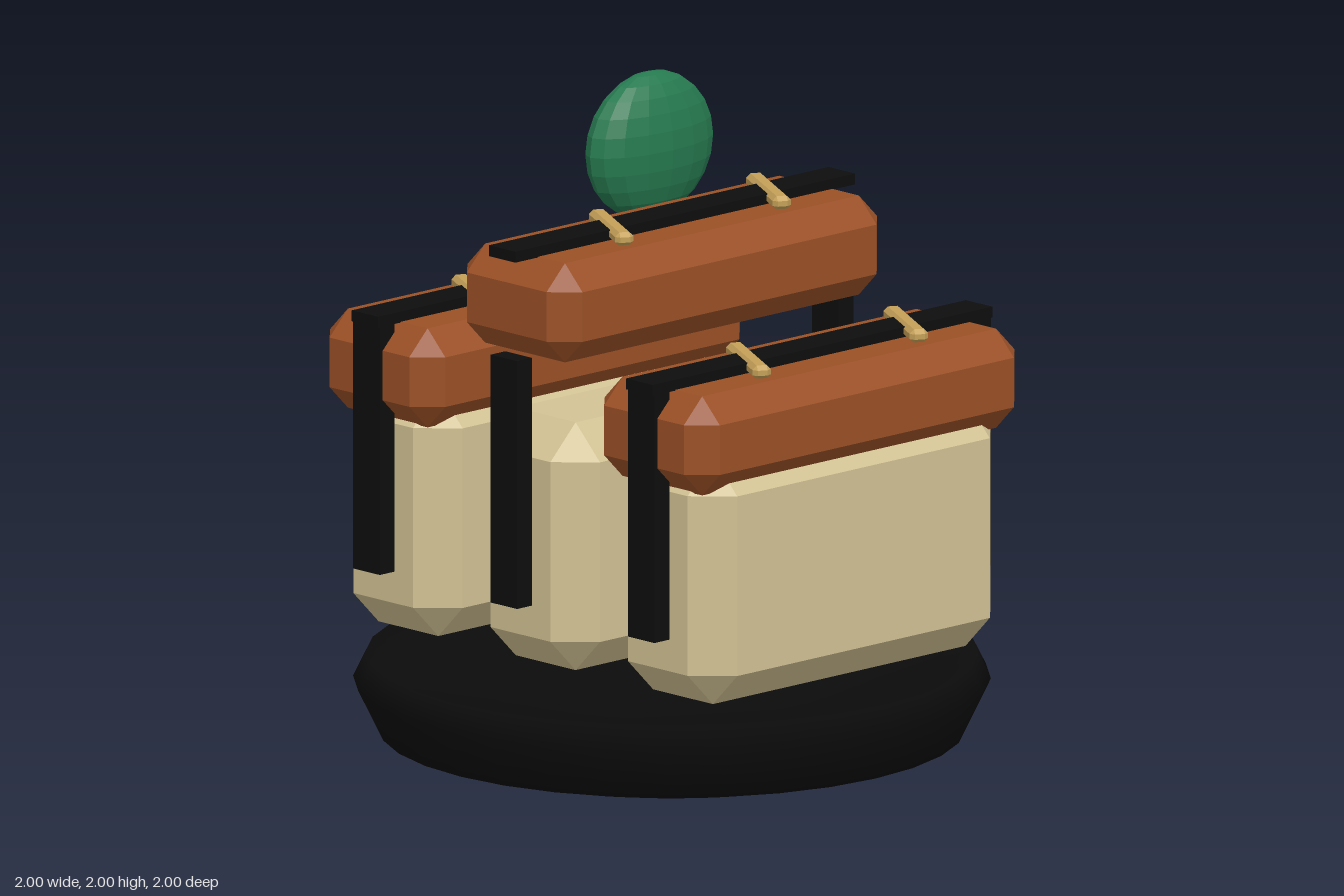
import * as THREE from 'three';
import { ConvexGeometry } from 'three/addons/geometries/ConvexGeometry.js';

const mat = (name, color, flatShading = true) => {
  const m = new THREE.MeshStandardMaterial({ color, flatShading });
  m.name = name;
  return m;
};

// Box with every edge and corner cut by c
function chamferBox(w, h, d, c) {
  const [x, y, z] = [w / 2, h / 2, d / 2];
  const pts = [];
  for (const sx of [-1, 1]) for (const sy of [-1, 1]) for (const sz of [-1, 1]) {
    pts.push(
      new THREE.Vector3(sx * x, sy * (y - c), sz * (z - c)),
      new THREE.Vector3(sx * (x - c), sy * y, sz * (z - c)),
      new THREE.Vector3(sx * (x - c), sy * (y - c), sz * z));
  }
  return new ConvexGeometry(pts);
}

export function createModel() {
  const black = mat('black', 0x0d0d0d);
  const plateBlack = mat('plateBlack', 0x0b0b0b, false);
  const rice = mat('rice', 0xd2c294);
  const topping = mat('topping', 0x9a5026);
  const gold = mat('gold', 0xc4a058);
  const green = mat('green', 0x267a50);

  const model = new THREE.Group();
  const add = (parent, name, geometry, material, x, y, z) => {
    const mesh = new THREE.Mesh(geometry, material);
    mesh.name = name;
    mesh.position.set(x, y, z);
    parent.add(mesh);
    return mesh;
  };

  // Shallow round plate
  const profile = [[0, 0], [0.6, 0], [0.92, 0.08], [1, 0.245], [0.96, 0.325],
    [0.85, 0.27], [0.5, 0.23], [0, 0.23]].map(p => new THREE.Vector2(...p));
  add(model, 'plate', new THREE.LatheGeometry(profile, 32), plateBlack, 0, 0, 0);

  const riceGeo = chamferBox(1.32, 0.8, 0.49, 0.11);
  const toppingGeo = chamferBox(1.44, 0.32, 0.52, 0.08);
  const bandTopGeo = new THREE.BoxGeometry(1.48, 0.035, 0.12);
  const bandSideGeo = new THREE.BoxGeometry(0.065, 0.8, 0.12);
  const garnishGeo = chamferBox(0.06, 0.045, 0.34, 0.014);

  // Three pieces in a row; the middle topping sits higher
  [[-0.62, 0], [0, 0.32], [0.62, 0]].forEach(([z, lift], i) => {
    const piece = new THREE.Group();
    piece.name = 'piece' + (i + 1);
    piece.position.z = z;
    model.add(piece);
    add(piece, 'riceBlock', riceGeo, rice, 0, 0.785, 0);
    add(piece, 'topping', toppingGeo, topping, 0, 1.242 + lift, 0);
    add(piece, 'bandTop', bandTopGeo, black, 0, 1.417 + lift, 0);
    for (const s of [-1, 1]) {
      add(piece, s > 0 ? 'bandLeft' : 'bandRight', bandSideGeo, black, s * 0.7, 1.0, 0);
    }
    // Slanted garnish strips across the band
    for (const x of [-0.265, 0.42]) {
      add(piece, 'garnish', garnishGeo, gold, x, 1.421 + lift, 0).rotation.y = -0.5;
    }
  });

  // Flattened green mound
  const mound = add(model, 'greenMound', new THREE.SphereGeometry(1, 16, 12), green, 0.518, 1.763, -0.64);
  mound.scale.set(0.258, 0.237, 0.109);

  return model;
}
